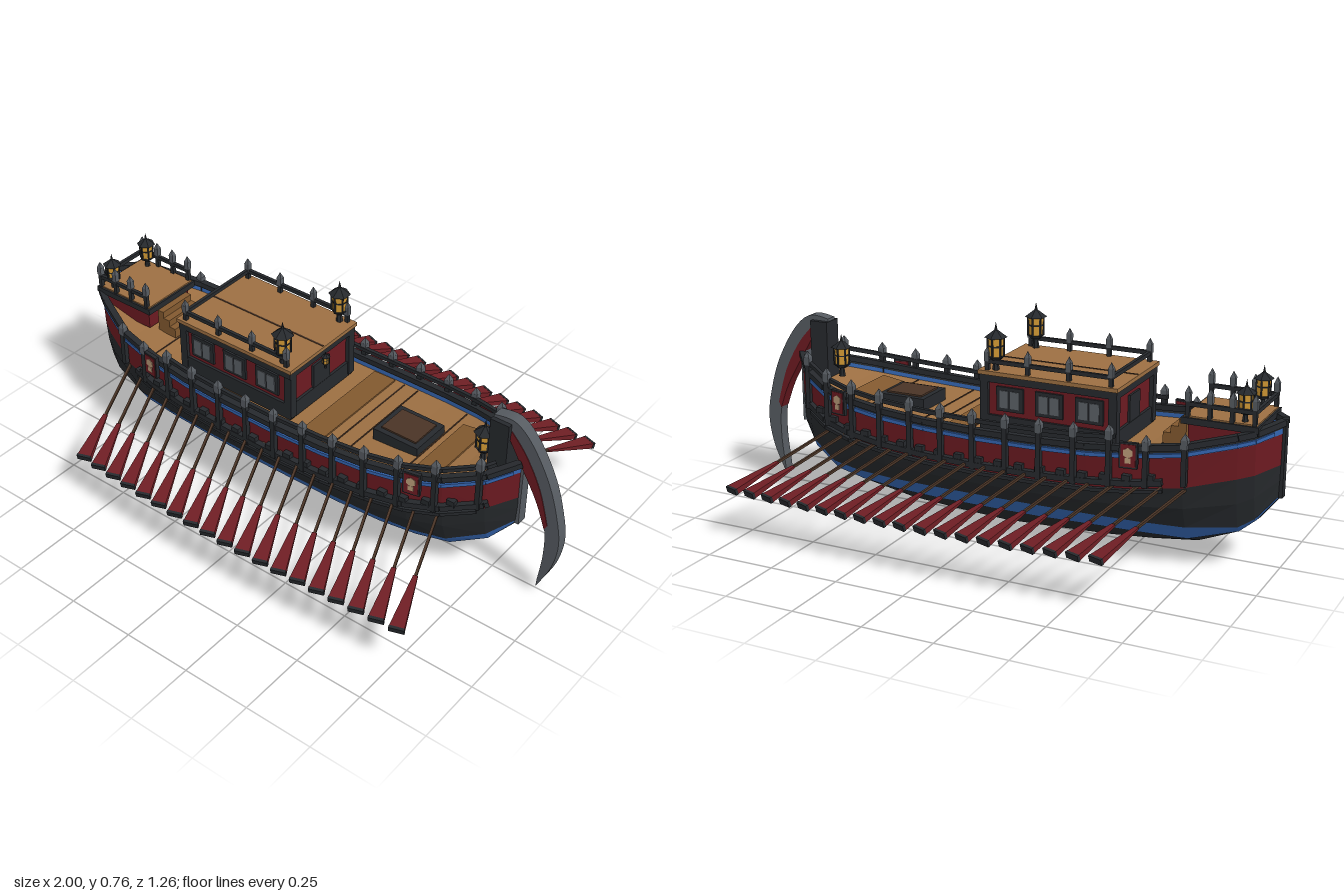
import * as THREE from 'three';

const mat = (color, extra = {}) => new THREE.MeshStandardMaterial({ color, flatShading: true, ...extra });
const both = { side: THREE.DoubleSide };
const M = {
  black: mat(0x25282b, both), dark: mat(0x26292d), grey: mat(0x565b61), red: mat(0x6c1a21, both),
  blue: mat(0x3465b0, both), tan: mat(0x9c6f42, both), plank: mat(0x82592f), brown: mat(0x4a3426),
  amber: mat(0xd39a35), glass: mat(0x5b6066), cream: mat(0xb99a78), blade: mat(0x6e1e24),
};

// Hull stations: x, keel y, stripe bottom y, stripe top y, sheer y, half width
const STATIONS = [
  [-0.99, 0.25, 0.255, 0.26, 0.505, 0.012], [-0.93, 0.175, 0.18, 0.19, 0.487, 0.11],
  [-0.88, 0.13, 0.14, 0.16, 0.475, 0.14], [-0.72, 0.055, 0.1, 0.15, 0.44, 0.208],
  [-0.56, 0.034, 0.1, 0.15, 0.42, 0.234], [-0.4, 0.02, 0.1, 0.15, 0.408, 0.245],
  [-0.2, 0.01, 0.095, 0.15, 0.402, 0.25], [0, 0.002, 0.095, 0.15, 0.4, 0.25],
  [0.2, 0.012, 0.095, 0.15, 0.405, 0.247], [0.38, 0.025, 0.1, 0.15, 0.415, 0.236],
  [0.52, 0.05, 0.11, 0.152, 0.428, 0.215], [0.64, 0.08, 0.125, 0.16, 0.447, 0.178],
  [0.76, 0.17, 0.18, 0.21, 0.476, 0.106], [0.835, 0.26, 0.262, 0.27, 0.508, 0.022],
];
function at(x) {
  let i = 0;
  while (i < STATIONS.length - 2 && x > STATIONS[i + 1][0]) i++;
  const a = STATIONS[i], b = STATIONS[i + 1], t = (x - a[0]) / (b[0] - a[0]);
  return a.map((v, k) => v + (b[k] - v) * t);
}
// Rows of the hull section from keel to sheer, as [y, z]
function row([, b, c, d, s, w], i) {
  const r = s - 0.14;
  return [[b, Math.min(w, 0.018)], [c, 0.6 * w], [d, 0.75 * w], [(d + r) / 2, 0.89 * w],
    [r, 0.95 * w], [s - 0.034, 0.985 * w], [s - 0.016, 0.99 * w], [s, w]][i];
}

// Strip of quads along the hull between two section points
function strip(group, name, material, fa, fb) {
  const pos = [], idx = [];
  STATIONS.forEach((s, i) => {
    pos.push(s[0], ...fa(s), s[0], ...fb(s));
    if (i) { const k = 2 * i; idx.push(k - 2, k, k - 1, k - 1, k, k + 1); }
  });
  const g = new THREE.BufferGeometry();
  g.setAttribute('position', new THREE.Float32BufferAttribute(pos, 3));
  g.setIndex(idx);
  g.computeVertexNormals();
  add(group, name, g, material);
}
function add(group, name, geo, material, x = 0, y = 0, z = 0) {
  const m = new THREE.Mesh(geo, material);
  m.name = name;
  m.position.set(x, y, z);
  group.add(m);
  return m;
}
const box = (g, name, m, w, h, d, x, y, z) => add(g, name, new THREE.BoxGeometry(w, h, d), m, x, y, z);
function beam(g, name, m, a, b, w, h) {
  const p = new THREE.Vector3(...a), q = new THREE.Vector3(...b), mid = p.clone().lerp(q, 0.5);
  box(g, name, m, w, h, p.distanceTo(q), mid.x, mid.y, mid.z).lookAt(q);
}
function part(parent, name) {
  const g = new THREE.Group();
  g.name = name;
  parent.add(g);
  return g;
}
// Beam that follows the sheer line between two x positions
function followSheer(g, name, m, x0, x1, dy, dz, w, h) {
  const xs = [x0, ...STATIONS.map(s => s[0]).filter(x => x > x0 && x < x1), x1];
  for (const side of [1, -1]) for (let i = 1; i < xs.length; i++) {
    const [p, q] = [xs[i - 1], xs[i]].map(x => { const s = at(x); return [x, s[4] + dy, side * (s[5] + dz)]; });
    beam(g, name, m, p, q, w, h);
  }
}
// Square post with a pointed grey cap
function post(g, x, y0, y1, z, w = 0.018) {
  box(g, 'post', M.dark, w, y1 - y0, w, x, (y0 + y1) / 2, z);
  box(g, 'postHead', M.grey, w * 1.3, 0.03, w * 1.3, x, y1 - 0.012, z);
  add(g, 'postTip', new THREE.ConeGeometry(w * 0.9, 0.022, 4).rotateY(Math.PI / 4), M.grey, x, y1 + 0.014, z);
}
function lantern(parent, x, y, z, h) {
  const g = part(parent, 'lantern'), r = h * 0.19;
  add(g, 'lanternStem', new THREE.CylinderGeometry(r * 0.25, r * 0.4, h * 0.22, 6), M.dark, 0, h * 0.11, 0);
  add(g, 'lanternBase', new THREE.CylinderGeometry(r, r * 0.6, h * 0.08, 6), M.dark, 0, h * 0.25, 0);
  add(g, 'lanternGlass', new THREE.CylinderGeometry(r * 0.9, r * 0.75, h * 0.4, 6), M.amber, 0, h * 0.48, 0);
  add(g, 'lanternBand', new THREE.CylinderGeometry(r * 0.92, r * 0.9, h * 0.03, 6), M.dark, 0, h * 0.5, 0);
  for (let i = 0; i < 6; i++) {
    const a = i * Math.PI / 3;
    box(g, 'lanternBar', M.dark, r * 0.18, h * 0.42, r * 0.18, Math.sin(a) * r * 0.86, h * 0.48, Math.cos(a) * r * 0.86);
  }
  add(g, 'lanternCap', new THREE.ConeGeometry(r * 1.25, h * 0.18, 6), M.dark, 0, h * 0.77, 0);
  add(g, 'lanternFinial', new THREE.ConeGeometry(r * 0.2, h * 0.18, 5), M.dark, 0, h * 0.91, 0);
  g.position.set(x, y, z);
}
// Roof railing: posts along both sides with beams; closed across the given end
function railing(g, xs, z, y, h, endX) {
  const rail = y + h * 0.55;
  for (const s of [1, -1]) {
    xs.forEach(x => post(g, x, y, y + h, s * z, 0.014));
    beam(g, 'rail', M.dark, [xs[0], rail, s * z], [xs[xs.length - 1], rail, s * z], 0.012, 0.014);
  }
  beam(g, 'endRail', M.dark, [endX, rail, -z], [endX, rail, z], 0.012, 0.014);
}

export function createModel() {
  const ship = new THREE.Group();
  ship.name = 'galley';

  // Hull planking in coloured bands, keel and deck
  const hull = part(ship, 'hull');
  const bands = [['bottom', M.black], ['waterlineStripe', M.blue], ['lowerSide', M.black], ['upperSide', M.black],
    ['redSide', M.red], ['blueTrim', M.blue], ['bulwarkTop', M.black]];
  for (const side of [1, -1]) bands.forEach(([name, m], i) => {
    const f = k => s => { const [y, z] = row(s, k); return [y, side * z]; };
    strip(hull, name, m, f(i), f(i + 1));
  });
  strip(hull, 'keel', M.black, s => [s[1], -row(s, 0)[1]], s => [s[1], row(s, 0)[1]]);
  strip(hull, 'deck', M.tan, s => [s[4] - 0.03, -0.98 * s[5]], s => [s[4] - 0.03, 0.98 * s[5]]);
  box(hull, 'sternPost', M.dark, 0.02, 0.26, 0.03, -0.988, 0.38, 0);
  followSheer(hull, 'gunwale', M.dark, -0.99, 0.835, 0.004, 0, 0.024, 0.02);
  followSheer(hull, 'blueMoulding', M.blue, -0.97, 0.82, -0.024, 0.003, 0.008, 0.013);
  followSheer(hull, 'wale', M.dark, -0.66, 0.77, -0.115, 0.004, 0.022, 0.02);
  followSheer(hull, 'lowerWale', M.dark, -0.66, 0.74, -0.145, 0.0, 0.016, 0.012);
  followSheer(hull, 'upperRail', M.dark, -0.5, 0.78, 0.04, 0, 0.014, 0.014);

  // Bulwark posts, oar ports and crest shields
  const sides = part(ship, 'sideFittings');
  for (const s of [1, -1]) {
    for (let i = 0; i < 13; i++) {
      const x = -0.73 + i * 0.123, st = at(x);
      post(sides, x, st[4] - 0.13, st[4] + (x < -0.5 ? 0.025 : 0.06), s * (st[5] + 0.008));
    }
    for (let i = 0; i < 18; i++) {
      const x = -0.62 + i * 0.076, st = at(x);
      box(sides, 'oarPort', M.dark, 0.03, 0.022, 0.02, x, st[4] - 0.098, s * (st[5] + 0.003));
    }
    for (const x of [-0.555, 0.555]) {
      const st = at(x), g = part(sides, 'crestShield');
      box(g, 'shieldFrame', M.dark, 0.062, 0.088, 0.014, 0, 0, 0);
      box(g, 'shieldField', M.red, 0.05, 0.076, 0.018, 0, 0, 0);
      add(g, 'shieldBoss', new THREE.CylinderGeometry(0.018, 0.018, 0.022, 6).rotateX(Math.PI / 2), M.cream, 0, 0.01, 0);
      box(g, 'shieldBar', M.cream, 0.02, 0.018, 0.022, 0, -0.016, 0);
      g.position.set(x, st[4] - 0.015, s * (st[5] + 0.018));
      g.rotation.y = s * (x > 0 ? 0.2 : -0.12);
    }
  }

  // Oars, raked towards the bow
  const oars = part(ship, 'oars'), count = 19;
  for (const s of [1, -1]) for (let i = 0; i < count; i++) {
    const x = -0.73 + i * 1.355 / (count - 1), st = at(x);
    const reach = 0.585 + 0.03 * Math.sin(Math.PI * i / (count - 1));
    const a = [x, 0.295, s * (st[5] - 0.02)], c = [x + 0.14, 0.175, s * reach];
    const b = a.map((v, k) => v + (c[k] - v) * 0.56);
    beam(oars, 'oarShaft', M.brown, a, b, 0.009, 0.009);
    const geo = new THREE.CylinderGeometry(0.036, 0.011, 1, 4).rotateY(Math.PI / 4).rotateX(Math.PI / 2);
    const len = Math.hypot(...b.map((v, k) => c[k] - v));
    const blade = add(oars, 'oarBlade', geo.scale(1, 0.42, len), M.blade, ...b.map((v, k) => (v + c[k]) / 2));
    blade.lookAt(...c);
    const tip = box(oars, 'oarTip', M.dark, 0.052, 0.022, 0.01, ...c);
    tip.rotation.copy(blade.rotation);
  }

  // Midship cabin with windows, roof and railing
  const cabin = part(ship, 'cabin');
  box(cabin, 'cabinWalls', M.red, 0.47, 0.2, 0.33, -0.23, 0.475, 0);
  box(cabin, 'cabinSill', M.dark, 0.49, 0.06, 0.35, -0.23, 0.412, 0);
  box(cabin, 'cabinEaves', M.dark, 0.5, 0.025, 0.36, -0.23, 0.57, 0);
  box(cabin, 'cabinRoof', M.tan, 0.51, 0.014, 0.37, -0.23, 0.59, 0);
  box(cabin, 'roofSeam', M.brown, 0.5, 0.004, 0.006, -0.23, 0.597, 0);
  for (const s of [1, -1]) {
    for (const x of [-0.465, 0.005]) box(cabin, 'cornerPost', M.dark, 0.03, 0.18, 0.03, x, 0.48, s * 0.162);
    for (const x of [-0.38, -0.235, -0.09]) {
      box(cabin, 'windowFrame', M.dark, 0.1, 0.085, 0.012, x, 0.502, s * 0.167);
      for (const d of [-0.02, 0.02]) box(cabin, 'windowPane', M.glass, 0.033, 0.06, 0.016, x + d, 0.502, s * 0.168);
    }
    lantern(cabin, -0.03, 0.597, s * 0.155, 0.165);
  }
  box(cabin, 'frontDoor', M.dark, 0.012, 0.15, 0.09, 0.008, 0.46, 0);
  box(cabin, 'backDoor', M.dark, 0.012, 0.15, 0.09, -0.467, 0.46, 0);
  lantern(cabin, 0.03, 0.51, 0, 0.07);
  railing(cabin, [-0.455, -0.305, -0.155, -0.005], 0.168, 0.595, 0.06, -0.455);

  // Stern castle with stairs
  const castle = part(ship, 'sternCastle');
  box(castle, 'castleWalls', M.red, 0.22, 0.09, 0.21, -0.81, 0.465, 0);
  box(castle, 'castleEaves', M.dark, 0.26, 0.022, 0.245, -0.81, 0.503, 0);
  box(castle, 'castleDeck', M.tan, 0.245, 0.01, 0.23, -0.81, 0.514, 0);
  railing(castle, [-0.925, -0.85, -0.775, -0.7], 0.112, 0.515, 0.08, -0.925);
  for (const s of [1, -1]) lantern(castle, -0.885, 0.515, s * 0.09, 0.145);
  for (let i = 0; i < 3; i++)
    box(castle, 'stairStep', M.plank, 0.027, 0.09 - i * 0.026, 0.15, -0.67 + i * 0.027, 0.445 - i * 0.013, 0);

  // Deck hatch, plank seams and darker planks
  const deck = part(ship, 'deckFittings');
  box(deck, 'hatchFrame', M.dark, 0.18, 0.05, 0.16, 0.385, 0.4, 0);
  box(deck, 'hatchCover', M.brown, 0.14, 0.05, 0.12, 0.385, 0.406, 0);
  for (const [x, w, d] of [[0.115, 0.09, 0.47], [0.55, 0.09, 0.3]]) {
    const p = box(deck, 'darkPlank', M.plank, w, 0.008, d, x, at(x)[4] - 0.028, 0);
    p.rotation.z = Math.atan2(at(x + 0.04)[4] - at(x - 0.04)[4], 0.08);
  }
  for (const x of [-0.6, 0.07, 0.2, 0.26, 0.48])
    box(deck, 'plankSeam', M.brown, 0.004, 0.004, at(x)[5] * 1.9, x, at(x)[4] - 0.029, 0);
  lantern(deck, 0.68, 0.44, 0, 0.16);

  // Bow block and sickle-shaped prow
  const prow = part(ship, 'prow');
  box(prow, 'bowBlock', M.dark, 0.07, 0.22, 0.075, 0.752, 0.535, 0);
  const crescent = (outer, inner, depth, name, m) => {
    const v = p => p.map(q => new THREE.Vector2(...q));
    const sh = new THREE.Shape().moveTo(...outer[0]).splineThru(v(outer.slice(1)));
    sh.lineTo(...inner[0]).splineThru(v(inner.slice(1)));
    const geo = new THREE.ExtrudeGeometry(sh, { depth, bevelEnabled: false, curveSegments: 12 });
    add(prow, name, geo.translate(0, 0, -depth / 2), m);
  };
  crescent([[0.72, 0.655], [0.8, 0.66], [0.87, 0.6], [0.94, 0.48], [0.98, 0.36], [0.998, 0.25], [0.98, 0.14], [0.932, 0.03]],
    [[0.934, 0.06], [0.946, 0.18], [0.94, 0.29], [0.9, 0.4], [0.83, 0.52], [0.78, 0.6], [0.72, 0.64]], 0.042, 'prowBlade', M.grey);
  crescent([[0.79, 0.62], [0.85, 0.55], [0.91, 0.44], [0.95, 0.31]],
    [[0.94, 0.29], [0.9, 0.39], [0.83, 0.51], [0.785, 0.585]], 0.047, 'prowInlay', M.red);
  box(prow, 'stemPost', M.grey, 0.022, 0.3, 0.04, 0.833, 0.405, 0);

  return ship;
}
